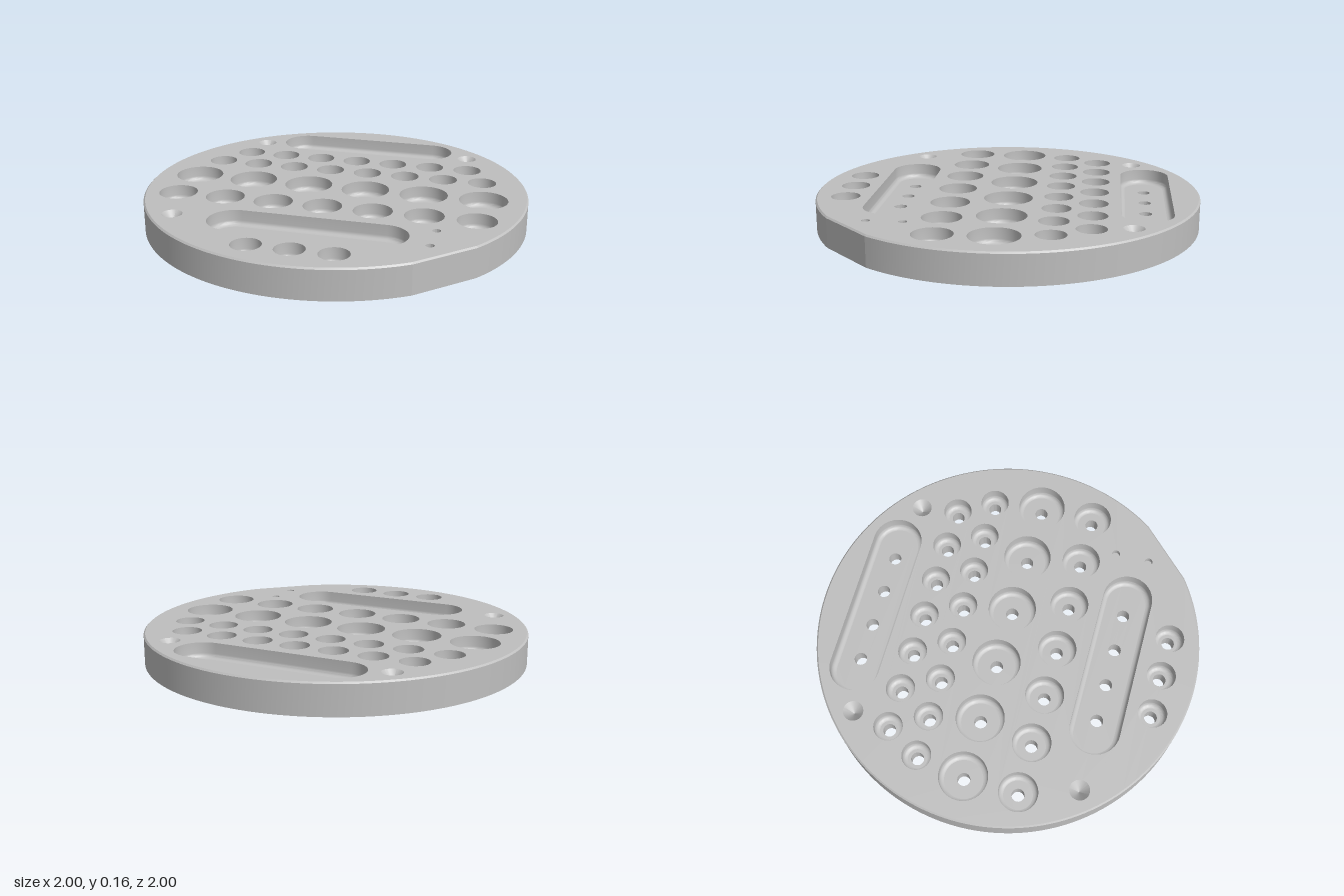
import * as THREE from 'three';
import { mergeGeometries, toCreasedNormals } from 'three/addons/utils/BufferGeometryUtils.js';

const HEIGHT = 0.16, FLOOR = 0.08, CHAMFER = 0.008, FILLET = 0.025, HOLE_R = 0.033;

// Rounded slot outline (a circle when half = 0), counter-clockwise from above
function slotOutline(x, z, r, half = 0) {
  const pts = [], n = 20;
  for (const side of [1, -1]) {
    const last = half > 0 ? n : n - 1;
    for (let i = 0; i <= last; i++) {
      const a = (i / n - 0.5) * Math.PI + (side < 0 ? Math.PI : 0);
      pts.push(new THREE.Vector2(x + side * half + r * Math.cos(a), -z + r * Math.sin(a)));
    }
  }
  return pts;
}

// Disc outline with one flat on the front left edge
function discOutline(r) {
  const pts = [], n = 160, mid = -Math.PI / 4, gap = 0.18;
  for (let i = 0; i <= n; i++) {
    const a = mid + gap + (i / n) * (2 * Math.PI - 2 * gap);
    pts.push(new THREE.Vector2(r * Math.cos(a), r * Math.sin(a)));
  }
  return pts;
}

// Skin between rings; bottom-to-top faces outward, top-to-bottom faces inward
function loft(rings, crease = 0.6) {
  const pos = [], index = [], n = rings[0].pts.length;
  for (const { pts, y } of rings) for (const p of pts) pos.push(p.x, y, -p.y);
  for (let k = 0; k < rings.length - 1; k++) {
    for (let i = 0; i < n; i++) {
      const a = k * n + i, b = k * n + (i + 1) % n;
      index.push(a, b, b + n, a, b + n, a + n);
    }
  }
  const geo = new THREE.BufferGeometry();
  geo.setAttribute('position', new THREE.Float32BufferAttribute(pos, 3));
  geo.setIndex(index);
  return toCreasedNormals(geo, crease);
}

// Flat horizontal face with holes
function plate(outline, holes, y, down = false) {
  const shape = new THREE.Shape(outline);
  shape.holes = holes.map((h) => new THREE.Path(h));
  const geo = new THREE.ShapeGeometry(shape);
  if (down) {
    geo.index.array.reverse();
    geo.attributes.normal.array.forEach((v, i, arr) => { arr[i] = -v; });
  }
  geo.rotateX(-Math.PI / 2).translate(0, y, 0);
  geo.deleteAttribute('uv');
  return geo.toNonIndexed();
}

export function createModel() {
  const group = new THREE.Group();
  const grey = new THREE.MeshStandardMaterial({ color: 0xbfbfbf });
  const add = (name, geo) => {
    const mesh = new THREE.Mesh(geo, grey);
    mesh.name = name;
    group.add(mesh);
  };
  const topHoles = [], bottomHoles = [];

  // Flat-floored pocket with a filleted foot and drilled through holes
  function pocket(name, x, z, r, half = 0, drills = [0]) {
    const rings = [{ pts: slotOutline(x, z, r, half), y: HEIGHT }];
    for (let i = 0; i <= 5; i++) {
      const a = (i / 5) * Math.PI / 2;
      rings.push({
        pts: slotOutline(x, z, r - FILLET * (1 - Math.cos(a)), half),
        y: FLOOR + FILLET * (1 - Math.sin(a)),
      });
    }
    const holes = drills.map((d) => slotOutline(x + d, z, HOLE_R));
    const parts = [loft(rings), plate(slotOutline(x, z, r - FILLET, half), holes, FLOOR)];
    for (const h of holes) parts.push(loft([{ pts: h, y: FLOOR }, { pts: h, y: 0 }]));
    topHoles.push(rings[0].pts);
    bottomHoles.push(...holes);
    add(name, mergeGeometries(parts));
  }

  // Rows of round pockets: name, count, spacing, z, radius
  const rows = [
    ['smallPocketBack', 7, 0.21, -0.457, 0.075],
    ['smallPocketMiddle', 8, 0.21, -0.275, 0.075],
    ['largePocket', 6, 0.31, -0.019, 0.125],
    ['mediumPocket', 7, 0.26, 0.266, 0.1],
    ['smallPocketFront', 3, 0.21, 0.82, 0.075],
  ];
  for (const [name, count, step, z, r] of rows) {
    for (let i = 0; i < count; i++) pocket(name, (i - (count - 1) / 2) * step, z, r);
  }

  // Long slots, each with four drilled holes
  pocket('slotBack', 0, -0.722, 0.13, 0.37, [-0.3, -0.1, 0.1, 0.3]);
  pocket('slotFront', 0, 0.557, 0.13, 0.37, [-0.3, -0.1, 0.1, 0.3]);

  // Conical locating dimples
  for (const [x, z] of [[-0.6, -0.653], [0.6, -0.653], [-0.69, 0.557]]) {
    const rim = slotOutline(x, z, 0.052);
    topHoles.push(rim);
    add('conicalDimple', loft([{ pts: rim, y: HEIGHT }, { pts: slotOutline(x, z, 0.0005), y: HEIGHT - 0.052 }]));
  }

  // Small blind holes
  for (const z of [0.437, 0.617]) {
    const rim = slotOutline(0.61, z, 0.021);
    topHoles.push(rim);
    add('blindHole', mergeGeometries([
      loft([{ pts: rim, y: HEIGHT }, { pts: rim, y: HEIGHT - 0.03 }]),
      plate(rim, [], HEIGHT - 0.03),
    ]));
  }

  // Disc body: chamfered rim, top and underside
  const outer = discOutline(1), inner = discOutline(1 - CHAMFER);
  add('discRim', loft([
    { pts: outer, y: 0 },
    { pts: outer, y: HEIGHT - CHAMFER },
    { pts: inner, y: HEIGHT },
  ], 0.1));
  add('discTop', plate(inner, topHoles, HEIGHT));
  add('discUnderside', plate(outer, bottomHoles, 0, true));
  return group;
}
